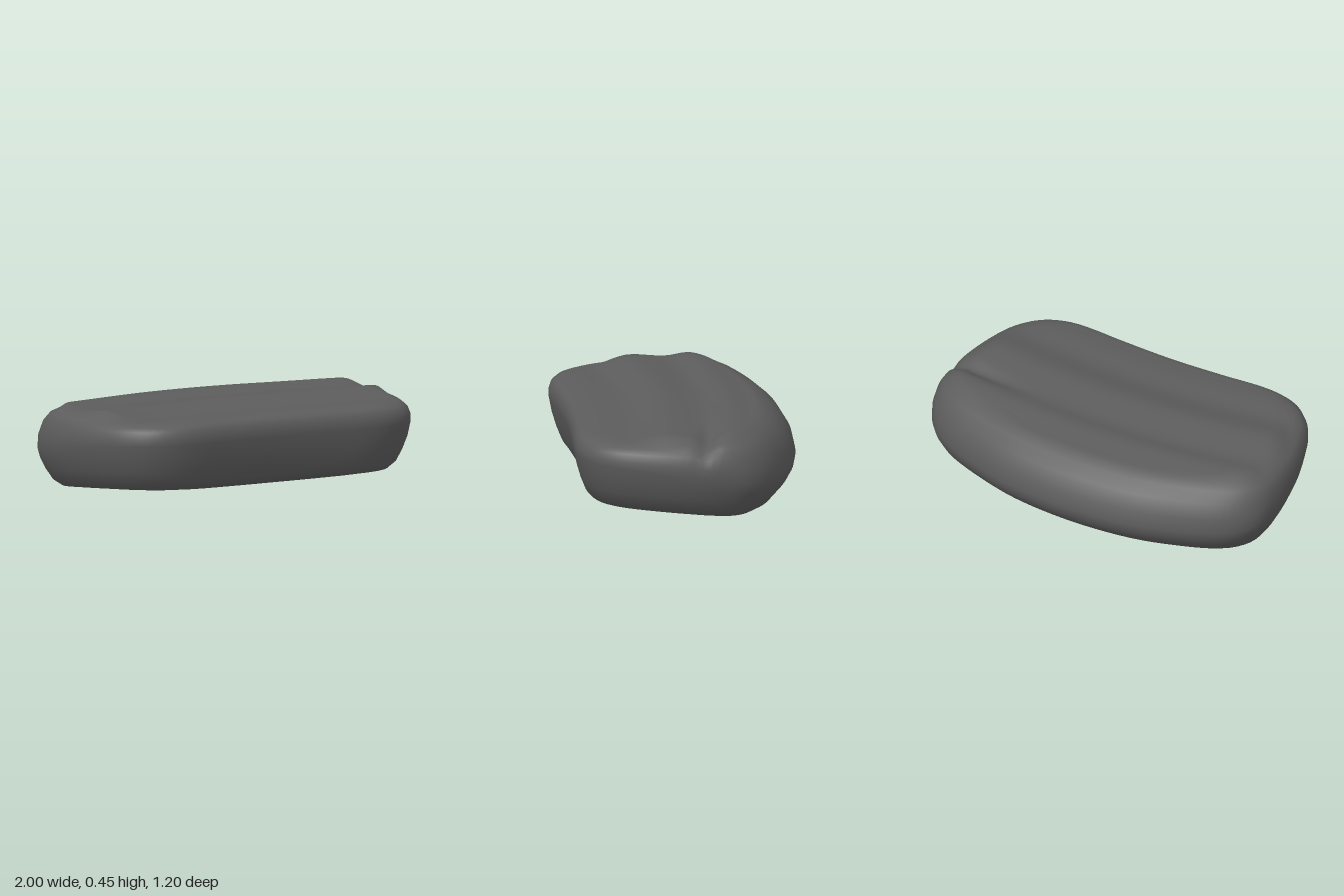
import * as THREE from 'three';

// Half of the plan outline, front middle to back middle, as [x, z]
const HALF = [[0, 0.575], [0.3, 0.585], [0.55, 0.6], [0.66, 0.59], [0.78, 0.54], [0.88, 0.43], [0.95, 0.25],
  [0.99, 0.05], [1, -0.1], [0.98, -0.25], [0.92, -0.345], [0.82, -0.42], [0.6, -0.51], [0.36, -0.575], [0, -0.605]];

// Rounded wall, bottom to top: x scale, front z scale, back z scale, front height, back height
const WALL = [
  [0.84, 0.78, 0.62, 0.05, 0.005], [0.89, 0.85, 0.74, 0.065, 0.015], [0.93, 0.9, 0.85, 0.1, 0.045],
  [0.96, 0.94, 0.94, 0.16, 0.1], [0.985, 0.975, 0.985, 0.23, 0.15], [1, 1, 1, 0.31, 0.2],
  [1, 1, 0.97, 0.345, 0.28], [0.985, 0.985, 0.89, 0.38, 0.36], [0.96, 0.955, 0.79, 0.4, 0.41],
  [0.925, 0.92, 0.71, 0.412, 0.43]];

// Top height along z: back swell, groove, middle swell, shallow groove, front lip
const TOP = [[-0.7, 0.4], [-0.4, 0.438], [-0.25, 0.455], [-0.12, 0.436], [0.08, 0.455], [0.3, 0.416], [0.42, 0.42], [0.62, 0.4]];

const { lerp, smoothstep } = THREE.MathUtils;

function topHeight(x, z) {
  const s = z - 0.1 * x * x;
  const i = Math.max(1, TOP.findIndex((p) => p[0] > s));
  const [a, b] = [TOP[i - 1], TOP[i]];
  return lerp(a[1], b[1], smoothstep(s, a[0], b[0]));
}

// Sharper crease that deepens toward the left end
function notch(x, z) {
  const d = z - (-0.13 + 0.1 * x * x);
  return 0.035 * smoothstep(x, 0.4, 0.95) * Math.exp(-((d / 0.045) ** 2));
}

function bottomHeight(x, z) {
  return lerp(0.005, 0.05, smoothstep(z, -0.4, 0.5)) + 0.025 * x * x;
}

function cushionGeometry() {
  const SEG = 128, INNER = 16;
  const mirrored = HALF.slice(1, -1).reverse().map(([x, z]) => [-x, z]);
  const curve = new THREE.CatmullRomCurve3(
    [...HALF, ...mirrored].map(([x, z]) => new THREE.Vector3(x, 0, z)), true, 'centripetal');
  const outline = curve.getSpacedPoints(SEG).slice(0, SEG);
  const positions = [], index = [];

  const addRing = (sx, zf, zb, height) => outline.forEach((p) => {
    const x = p.x * sx, z = p.z * (p.z > 0 ? zf : zb);
    positions.push(x, height(x, z, p), z);
  });

  // Underside, wall, then upper surface
  const first = WALL[0], last = WALL[WALL.length - 1];
  for (let k = 1; k <= 6; k++) {
    const f = k / 7;
    addRing(first[0] * f, first[1] * f, first[2] * f, bottomHeight);
  }
  WALL.forEach(([sx, zf, zb, yf, yb], k) => addRing(sx, zf, zb, (x, z, p) => {
    if (k === 0) return bottomHeight(x, z);
    return lerp(yb, yf, smoothstep(p.z, -0.6, 0.6)) - notch(x, z) * smoothstep(k, 5, 8);
  }));
  for (let k = 0; k < INNER; k++) {
    const f = (1 - k / INNER) * 0.95;
    addRing(last[0] * f, last[1] * f, last[2] * f, (x, z) => topHeight(x, z) - notch(x, z));
  }

  const rings = 6 + WALL.length + INNER;
  const low = rings * SEG, high = low + 1;
  positions.push(0, bottomHeight(0, 0), 0, 0, topHeight(0, 0), 0);
  for (let i = 0; i < SEG; i++) {
    const j = (i + 1) % SEG, t = (rings - 1) * SEG;
    index.push(low, j, i, high, t + i, t + j);
    for (let r = 0; r < rings - 1; r++) {
      const a = r * SEG, b = a + SEG;
      index.push(a + i, a + j, b + j, a + i, b + j, b + i);
    }
  }
  const geometry = new THREE.BufferGeometry();
  geometry.setAttribute('position', new THREE.Float32BufferAttribute(positions, 3));
  geometry.setIndex(index);
  geometry.computeVertexNormals();
  return geometry;
}

export function createModel() {
  const group = new THREE.Group();
  group.name = 'cushion';
  const material = new THREE.MeshStandardMaterial({ color: 0x5c5c5c });
  material.name = 'dark grey';
  const body = new THREE.Mesh(cushionGeometry(), material);
  body.name = 'cushionBody';
  group.add(body);
  return group;
}
